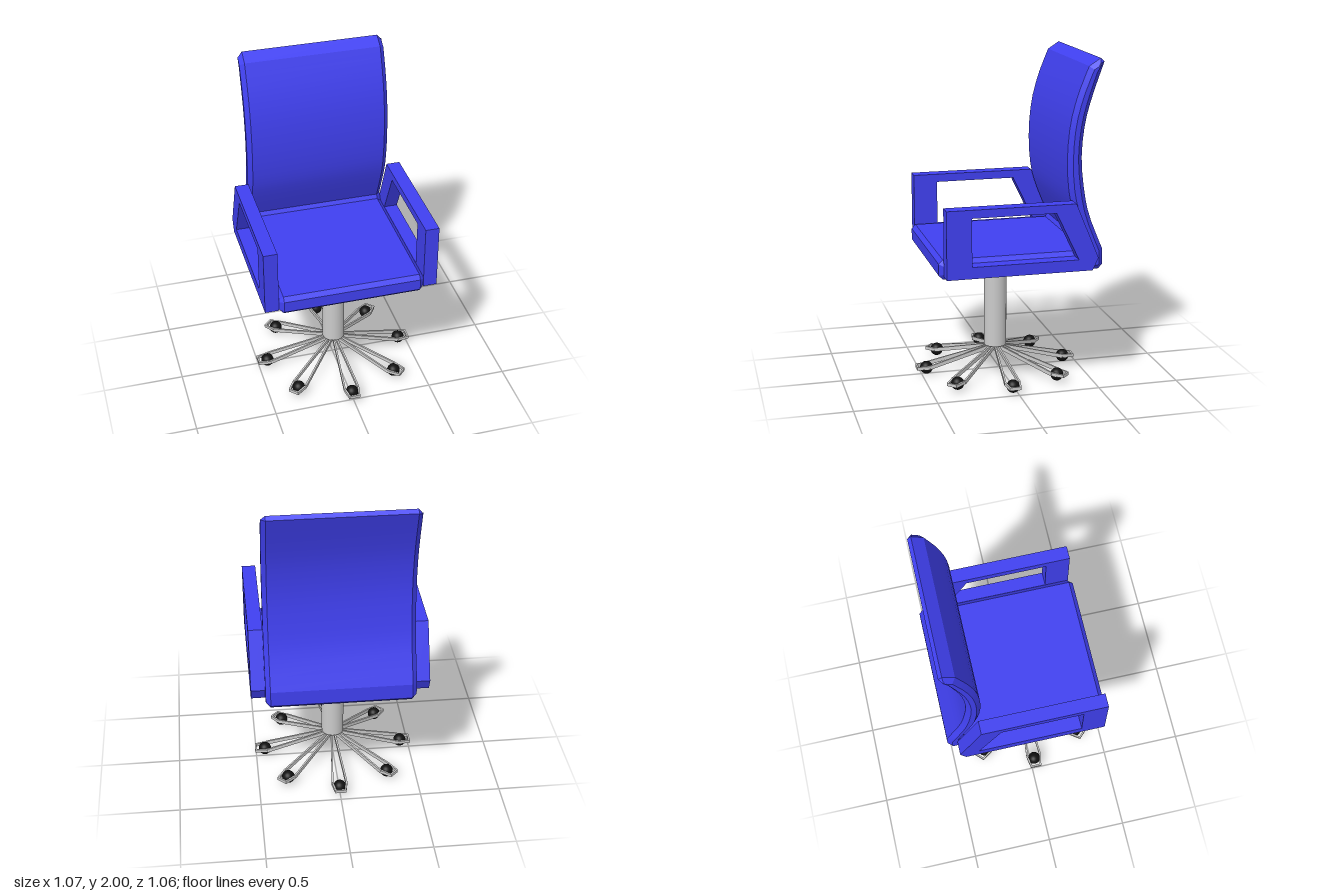
import * as THREE from 'three';
import { toCreasedNormals } from 'three/addons/utils/BufferGeometryUtils.js';

const blue = new THREE.MeshStandardMaterial({ color: 0x4040f0 });
const grey = new THREE.MeshStandardMaterial({ color: 0xcccccc });
const black = new THREE.MeshStandardMaterial({ color: 0x111111 });
const V2 = (p) => new THREE.Vector2(...p);
const V3 = (...p) => new THREE.Vector3(...p);
const CENTRE_Z = 0.025; // axis of column and base

function part(name, geometry, material) {
  const mesh = new THREE.Mesh(geometry, material);
  mesh.name = name;
  return mesh;
}

// Extrude a (z, y) side profile across x, centred on x = 0
function extrudeAcross(shape, width, bevel) {
  const g = new THREE.ExtrudeGeometry(shape, {
    depth: width - 2 * bevel, bevelEnabled: bevel > 0, bevelSegments: 1,
    bevelSize: bevel, bevelThickness: bevel, bevelOffset: -bevel,
  });
  g.translate(0, 0, bevel - width / 2);
  g.rotateY(-Math.PI / 2);
  return toCreasedNormals(g, 0.35);
}

// Square bar between two points
function bar(a, b, w, h) {
  const mesh = part('legBar', new THREE.BoxGeometry(w, h, a.distanceTo(b)), grey);
  mesh.position.copy(a).add(b).multiplyScalar(0.5);
  mesh.lookAt(b);
  return mesh;
}

// Seat and curved back in one chamfered profile
function seatAndBack() {
  const s = new THREE.Shape();
  s.moveTo(0.445, 0.735);
  s.lineTo(0.47, 0.76);
  s.lineTo(0.47, 0.83);
  s.lineTo(0.445, 0.855);
  s.lineTo(-0.42, 0.855);
  s.lineTo(-0.435, 0.88);
  const spline = (pts) =>
    new THREE.SplineCurve(pts.map(V2)).getPoints(14).slice(1).forEach((p) => s.lineTo(p.x, p.y));
  spline([[-0.435, 0.88], [-0.36, 1.06], [-0.32, 1.2], [-0.305, 1.4], [-0.32, 1.61], [-0.365, 1.79], [-0.43, 1.955]]);
  s.lineTo(-0.5, 2);
  s.lineTo(-0.522, 1.98);
  spline([[-0.522, 1.98], [-0.455, 1.79], [-0.41, 1.62], [-0.392, 1.42], [-0.411, 1.22], [-0.447, 1.06], [-0.53, 0.855]]);
  s.lineTo(-0.53, 0.76);
  s.lineTo(-0.505, 0.735);
  s.closePath();
  return part('seatAndBack', extrudeAcross(s, 0.9, 0.028), blue);
}

// Armrest loop with a slanted rear post
function armrest(side) {
  const s = new THREE.Shape([[0.445, 0.76], [0.445, 1.17], [-0.33, 1.17], [-0.47, 0.835], [-0.435, 0.76]].map(V2));
  s.holes.push(new THREE.Path([[0.295, 0.83], [-0.35, 0.83], [-0.21, 1.12], [0.295, 1.12]].map(V2)));
  const arm = part(side > 0 ? 'leftArmrest' : 'rightArmrest', extrudeAcross(s, 0.085, 0), blue);
  arm.position.x = side * 0.4925;
  return arm;
}

// One leg: a narrow V of bars ending in a fork around a ball caster
function leg(angle) {
  const g = new THREE.Group();
  g.name = 'leg';
  for (const m of [1, -1]) {
    const top = V3(m * 0.008, 0.15, 0.02);
    const knee = V3(m * 0.044, 0.05, 0.43);
    const tip = V3(m * 0.03, 0.046, 0.505);
    g.add(bar(top, knee, 0.011, 0.024), bar(knee, tip, 0.011, 0.02));
  }
  g.add(bar(V3(-0.034, 0.046, 0.502), V3(0.034, 0.046, 0.502), 0.011, 0.02));
  const ball = part('caster', new THREE.SphereGeometry(0.04, 20, 14), black);
  ball.position.set(0, 0.04, 0.443);
  g.add(ball);
  g.rotation.y = angle;
  return g;
}

export function createModel() {
  const chair = new THREE.Group();
  chair.name = 'officeChair';
  chair.add(seatAndBack(), armrest(1), armrest(-1));

  // Column
  const column = part('column', new THREE.CylinderGeometry(0.07, 0.07, 0.585, 32), grey);
  column.position.set(0, 0.4525, CENTRE_Z);
  chair.add(column);

  // Star base with eight legs
  const base = new THREE.Group();
  base.name = 'starBase';
  base.position.z = CENTRE_Z;
  for (let i = 0; i < 8; i++) base.add(leg((i * Math.PI) / 4));
  chair.add(base);
  return chair;
}
